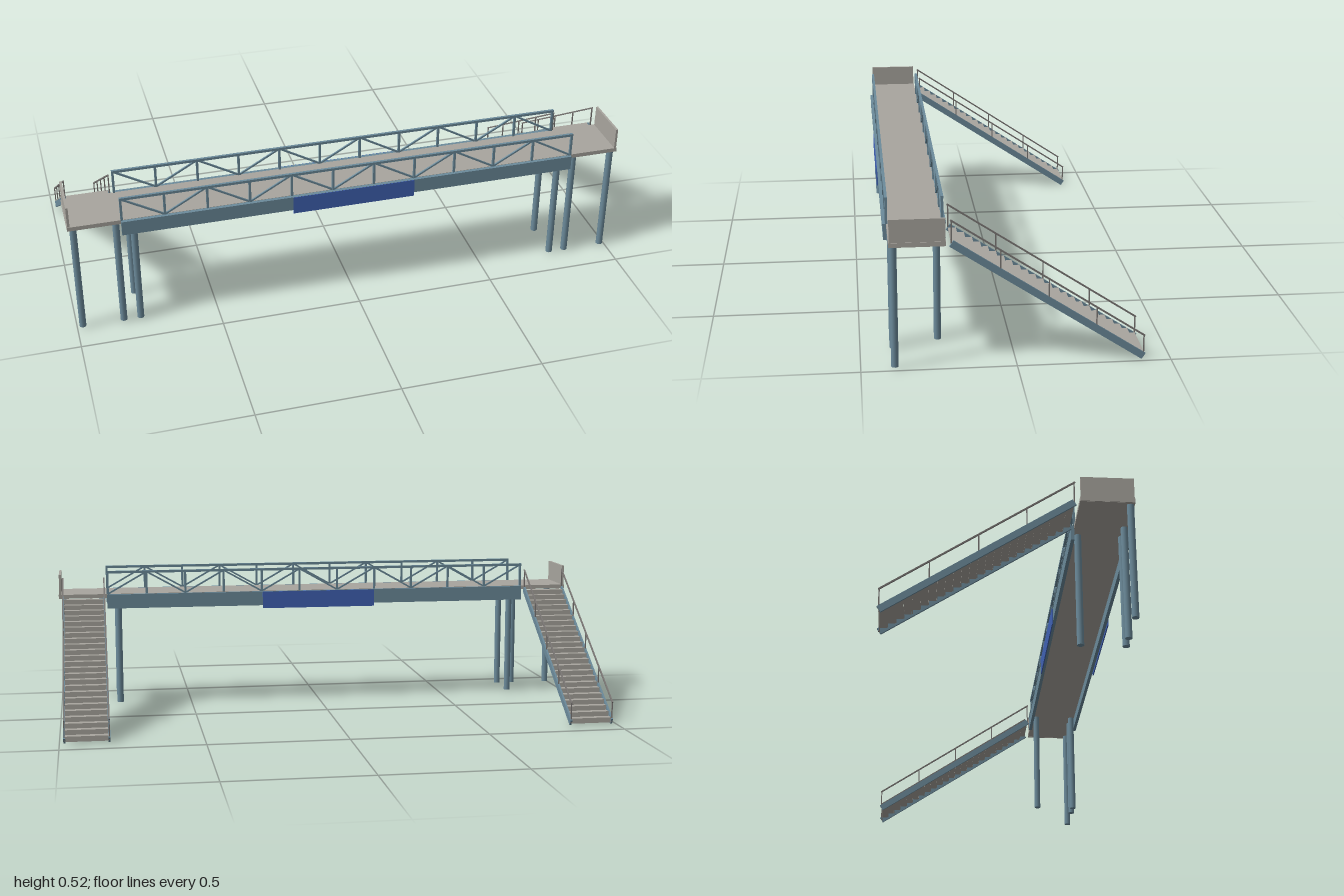
import * as THREE from 'three';

const mat = (name, color) => {
  const m = new THREE.MeshStandardMaterial({ color });
  m.name = name;
  return m;
};

export function createModel() {
  const steel = mat('blue grey steel', 0x6c8b9b);
  const concrete = mat('concrete grey', 0xa8a59e);
  const signBlue = mat('sign blue', 0x4062b4);
  const railGrey = mat('handrail grey', 0x7c7876);

  const group = (parent, name) => {
    const g = new THREE.Group();
    g.name = name;
    parent.add(g);
    return g;
  };
  const box = (parent, name, m, w, h, d, x, y, z) => {
    const b = new THREE.Mesh(new THREE.BoxGeometry(w, h, d), m);
    b.name = name;
    b.position.set(x, y, z);
    parent.add(b);
    return b;
  };
  // Square bar between two points: w across, h upright
  const bar = (parent, name, m, a, b, w, h = w) => {
    const from = new THREE.Vector3(...a), to = new THREE.Vector3(...b);
    const mid = from.clone().add(to).multiplyScalar(0.5);
    const mesh = box(parent, name, m, w, h, from.distanceTo(to), mid.x, mid.y, mid.z);
    mesh.lookAt(to);
    return mesh;
  };

  const model = new THREE.Group();
  model.name = 'footbridge';

  // Walkway with an upright panel closing each end
  box(model, 'deck', concrete, 2, 0.015, 0.18, 0, 0.4285, 0.315);
  for (const s of [-1, 1]) {
    box(model, 'endPanel', concrete, 0.008, 0.092, 0.176, s * 0.994, 0.466, 0.315);
  }

  // Girder, sign and truss railing on both sides of the walkway
  const bays = 11, half = 0.815, low = 0.436, high = 0.52;
  for (const s of [-1, 1]) {
    const side = group(model, s > 0 ? 'frontSide' : 'backSide');
    const z = 0.315 + s * 0.09;
    box(side, 'girderWeb', steel, 1.636, 0.052, 0.012, 0, 0.407, z + s * 0.005);
    box(side, 'girderTopFlange', steel, 1.636, 0.004, 0.016, 0, 0.433, z + s * 0.005);
    box(side, 'signPanel', signBlue, 0.44, 0.065, 0.004, 0, 0.402, 0.315 + s * 0.103);

    const truss = group(side, 'trussRailing');
    box(truss, 'topRail', steel, 1.638, 0.009, 0.009, 0, high, z);
    for (let i = 0; i <= bays; i++) {
      const x = -half + (2 * half * i) / bays;
      box(truss, 'post', steel, 0.008, high - low, 0.008, x, (high + low) / 2, z);
      if (i < bays) {
        const x2 = x + (2 * half) / bays;
        const down = i % 2 === 0;
        bar(truss, 'diagonal', steel, [x, down ? high : low, z], [x2, down ? low : high, z], 0.006);
      }
    }
  }

  // Round support columns
  const columnGeo = new THREE.CylinderGeometry(0.012, 0.012, 0.41, 12);
  for (const s of [-1, 1]) {
    for (const [x, z] of [[0.775, 0.391], [0.775, 0.242], [0.835, 0.391], [0.98, 0.391]]) {
      const c = new THREE.Mesh(columnGeo, steel);
      c.name = 'column';
      c.position.set(s * x, 0.216, z);
      model.add(c);
    }
  }

  // Staircases descending to the back at both ends
  const top = { y: 0.423, z: 0.208 }, foot = { y: 0.0135, z: -0.412 };
  const steps = 24, posts = 5, railRise = 0.075;
  const run = (top.z - foot.z) / steps, rise = (top.y - foot.y) / steps;
  for (const s of [-1, 1]) {
    const stair = group(model, s > 0 ? 'leftStair' : 'rightStair');
    const cx = s * 0.906;
    for (let i = 0; i < steps; i++) {
      const y = foot.y + rise * (i + 0.5), z = foot.z + run * (i + 0.5);
      box(stair, 'tread', concrete, 0.15, 0.004, run, cx, y + rise * 0.3, z);
      box(stair, 'riser', concrete, 0.15, rise, 0.003, cx, y - rise * 0.2, z - run / 2 + 0.002);
    }
    for (const e of [-1, 1]) {
      const x = cx + e * 0.077;
      bar(stair, 'stringer', steel, [x, foot.y, foot.z], [x, top.y, top.z], 0.007, 0.023);
      bar(stair, 'handrail', railGrey, [x, foot.y + railRise - 0.004, foot.z - 0.003],
        [x, top.y + railRise + 0.002, top.z + 0.003], 0.005);
      for (let i = 0; i < posts; i++) {
        const t = i / (posts - 1);
        const y = THREE.MathUtils.lerp(foot.y, top.y, t);
        const z = THREE.MathUtils.lerp(foot.z, top.z, t);
        box(stair, 'railPost', railGrey, 0.004, railRise, 0.004, x, y + railRise / 2, z);
      }
    }
  }

  return model;
}
